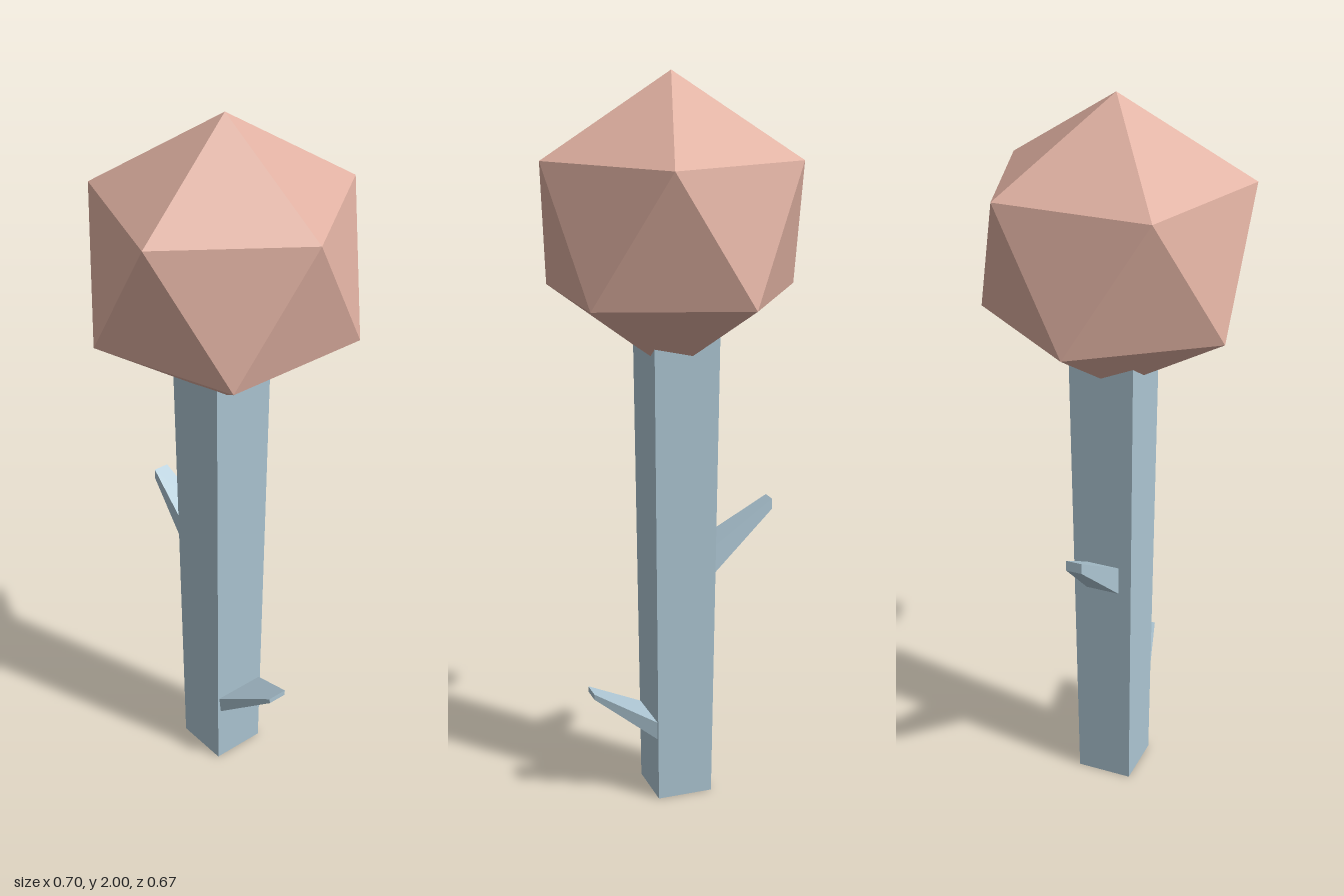
import * as THREE from 'three';

const bark = new THREE.MeshStandardMaterial({ color: 0xacc5d2 });
bark.name = 'pale blue bark';
const foliage = new THREE.MeshStandardMaterial({ color: 0xdfb0a1 });
foliage.name = 'dusty pink foliage';

function part(name, geometry, material) {
  const mesh = new THREE.Mesh(geometry, material);
  mesh.name = name;
  return mesh;
}

// Box whose corners are placed by a rule taking the sign of each axis.
function shapedBox(rule) {
  const geometry = new THREE.BoxGeometry(2, 2, 2);
  const p = geometry.attributes.position;
  for (let i = 0; i < p.count; i++) {
    p.setXYZ(i, ...rule(p.getX(i), p.getY(i), p.getZ(i)));
  }
  geometry.computeVertexNormals();
  return geometry;
}

// Tapered twig; each end is { x, low, high, wLow, wHigh } with w as half width in z.
function twig(root, tip) {
  const side = Math.sign(tip.x);
  return shapedBox((x, y, z) => {
    const end = x === side ? tip : root;
    return [end.x, y > 0 ? end.high : end.low, z * (y > 0 ? end.wHigh : end.wLow)];
  });
}

export function createModel() {
  const group = new THREE.Group();
  group.name = 'tree';

  // Square trunk, slightly wider towards the top and running into the crown
  group.add(part('trunk', shapedBox((x, y, z) => (y > 0
    ? [x > 0 ? 0.078 : -0.106, 1.4, z * 0.09]
    : [x > 0 ? 0.064 : -0.093, 0, z * 0.078])), bark));

  // Two stubby twigs on opposite sides
  group.add(part('upperTwig', twig(
    { x: -0.097, low: 0.633, high: 0.716, wLow: 0.048, wHigh: 0.048 },
    { x: -0.29, low: 0.805, high: 0.835, wLow: 0.022, wHigh: 0.022 }), bark));
  group.add(part('lowerTwig', twig(
    { x: 0.064, low: 0.18, high: 0.233, wLow: 0.07, wHigh: 0.076 },
    { x: 0.235, low: 0.31, high: 0.326, wLow: 0.027, wHigh: 0.029 }), bark));

  // Faceted crown, turned to stand on a vertex
  const crown = new THREE.IcosahedronGeometry(0.391, 0);
  crown.rotateZ(-Math.atan(2 / (1 + Math.sqrt(5))));
  crown.translate(0, 1.609, 0);
  group.add(part('crown', crown, foliage));

  return group;
}
